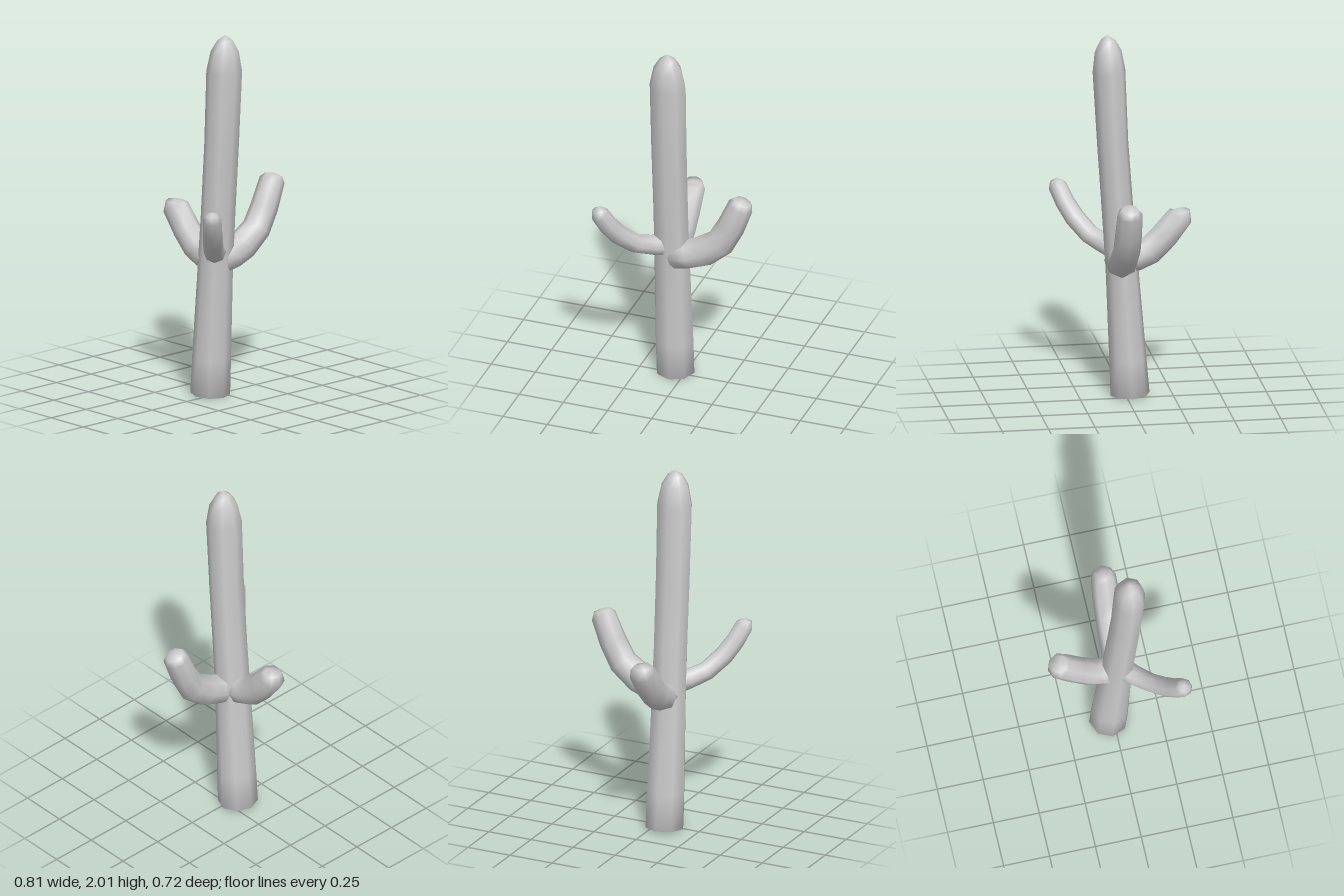
import * as THREE from 'three';

const SIDES = 8;
const material = new THREE.MeshStandardMaterial({ color: 0xcccccc });

// Closed tube through stations [x, y, z, radius along side, radius across side].
// The first and last stations are the end points that close it.
function limb(name, side, stations) {
  const centres = stations.map(([x, y, z]) => new THREE.Vector3(x, y, z));
  const last = centres.length - 1;
  const positions = [...centres[0].toArray()];
  const index = [];
  for (let i = 1; i < last; i++) {
    const from = centres[Math.max(i - 1, 1)];
    const to = centres[Math.min(i + 1, last)];
    const tangent = to.clone().sub(from).normalize();
    const across = tangent.clone().cross(side).normalize();
    const [, , , ru, rv = ru] = stations[i];
    for (let j = 0; j < SIDES; j++) {
      const a = (j / SIDES) * Math.PI * 2;
      const p = centres[i].clone()
        .addScaledVector(side, Math.cos(a) * ru)
        .addScaledVector(across, Math.sin(a) * rv);
      positions.push(p.x, p.y, p.z);
    }
  }
  positions.push(...centres[last].toArray());
  const tip = positions.length / 3 - 1;
  const at = (ring, j) => 1 + ring * SIDES + (j % SIDES);
  const rings = last - 1;
  for (let j = 0; j < SIDES; j++) {
    index.push(0, at(0, j + 1), at(0, j));
    for (let r = 0; r < rings - 1; r++) {
      const a = at(r, j), b = at(r, j + 1), c = at(r + 1, j + 1), d = at(r + 1, j);
      index.push(a, b, c, a, c, d);
    }
    index.push(at(rings - 1, j), at(rings - 1, j + 1), tip);
  }
  const geometry = new THREE.BufferGeometry();
  geometry.setAttribute('position', new THREE.Float32BufferAttribute(positions, 3));
  geometry.setIndex(index);
  geometry.computeVertexNormals();
  const mesh = new THREE.Mesh(geometry, material);
  mesh.name = name;
  return mesh;
}

export function createModel() {
  const group = new THREE.Group();
  group.name = 'cactus';
  const xAxis = new THREE.Vector3(1, 0, 0);
  const zAxis = new THREE.Vector3(0, 0, 1);
  const diagonal = new THREE.Vector3(1, 0, 1).normalize();

  // Trunk, leaning slightly forward
  group.add(limb('trunk', xAxis, [
    [-0.057, 0, -0.025],
    [-0.057, 0, -0.025, 0.107, 0.105],
    [-0.058, 0.2, -0.013, 0.107, 0.1],
    [-0.06, 0.7, 0.018, 0.1, 0.088],
    [-0.06, 1.0, 0.04, 0.098, 0.085],
    [-0.06, 1.4, 0.068, 0.1, 0.084],
    [-0.06, 1.8, 0.088, 0.102, 0.088],
    [-0.06, 1.91, 0.093, 0.078, 0.072],
    [-0.06, 1.97, 0.095, 0.043, 0.04],
    [-0.06, 2.0, 0.095],
  ]));

  // Thick arm on the model's left
  group.add(limb('leftArm', zAxis, [
    [-0.06, 0.75, 0.035],
    [-0.05, 0.75, 0.035, 0.08, 0.09],
    [0.04, 0.762, 0.036, 0.078, 0.084],
    [0.12, 0.795, 0.036, 0.076, 0.088],
    [0.22, 0.87, 0.036, 0.074, 0.08],
    [0.28, 0.98, 0.036, 0.073, 0.076],
    [0.335, 1.115, 0.036, 0.068, 0.07],
    [0.345, 1.143, 0.036, 0.046, 0.05],
    [0.348, 1.153, 0.036],
  ]));

  // Arm at the back
  group.add(limb('backArm', xAxis, [
    [-0.058, 0.75, 0.02],
    [-0.058, 0.75, 0.01, 0.082, 0.09],
    [-0.058, 0.762, -0.06, 0.076, 0.082],
    [-0.058, 0.79, -0.13, 0.073, 0.08],
    [-0.058, 0.87, -0.21, 0.071, 0.078],
    [-0.058, 0.975, -0.294, 0.07, 0.072],
    [-0.058, 1.005, -0.298, 0.05, 0.05],
    [-0.058, 1.02, -0.29],
  ]));

  // Thin arm reaching diagonally to the front right
  const slant = (x, y, r) => [x, y, -x - 0.042, r];
  group.add(limb('frontRightArm', diagonal, [
    slant(-0.07, 0.8),
    slant(-0.08, 0.8, 0.065),
    slant(-0.14, 0.815, 0.056),
    slant(-0.21, 0.848, 0.053),
    slant(-0.28, 0.925, 0.054),
    slant(-0.325, 1.0, 0.052),
    slant(-0.36, 1.08, 0.05),
    slant(-0.366, 1.108, 0.034),
    slant(-0.365, 1.125),
  ]));

  return group;
}
